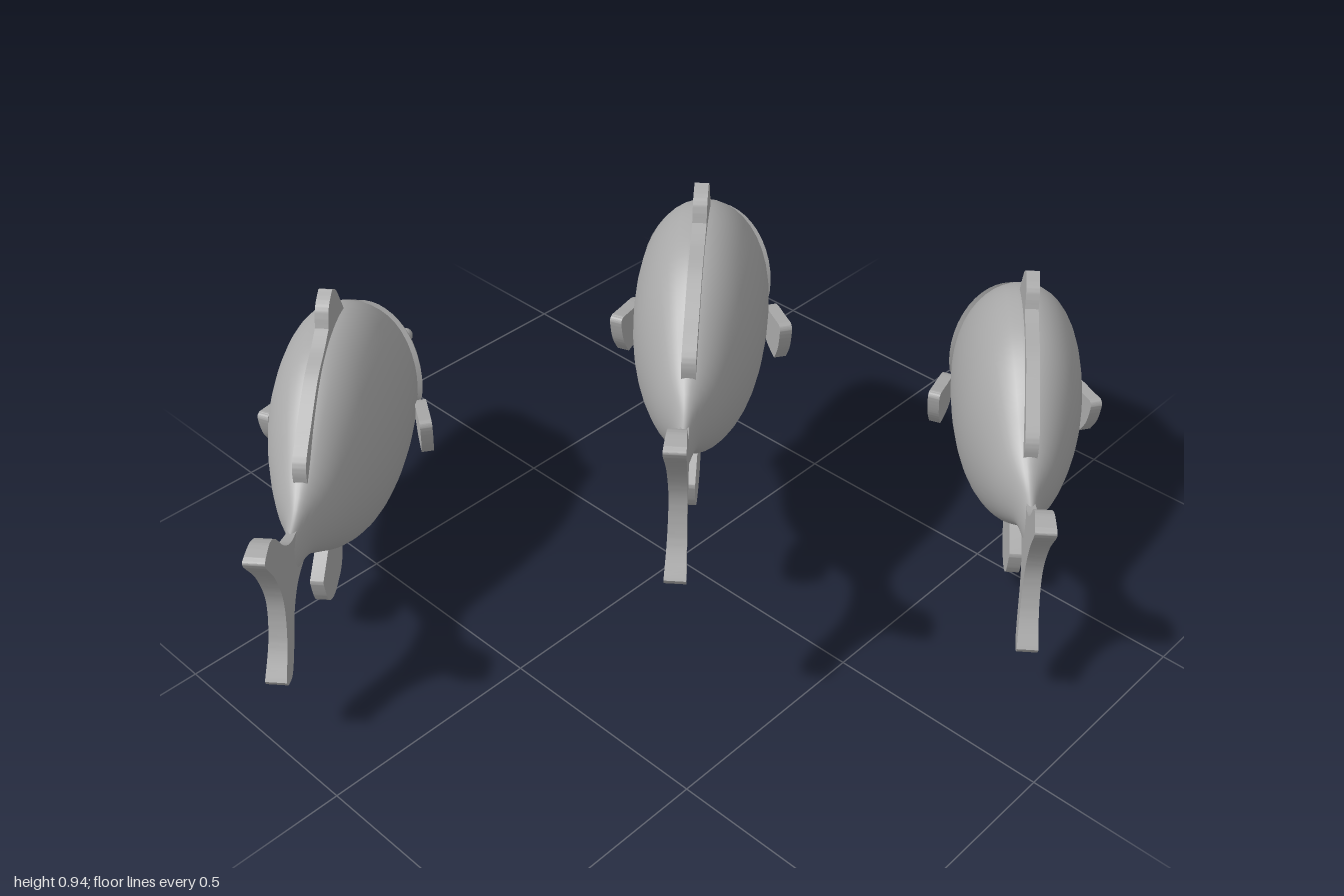
import * as THREE from 'three';
import { toCreasedNormals } from 'three/addons/utils/BufferGeometryUtils.js';

const grey = new THREE.MeshStandardMaterial({ color: 0xa8a8a8 });
grey.name = 'fish grey';

// Body profile along the fish (x from tail to snout): x, top, bottom, half width
const PROFILE = [
  [0.16, 0.345, 0.275, 0.006], [0.20, 0.352, 0.265, 0.014], [0.27, 0.375, 0.25, 0.03],
  [0.34, 0.425, 0.20, 0.068], [0.42, 0.50, 0.14, 0.102], [0.52, 0.565, 0.09, 0.132],
  [0.62, 0.59, 0.07, 0.145], [0.72, 0.585, 0.078, 0.147], [0.80, 0.553, 0.108, 0.14],
  [0.88, 0.49, 0.16, 0.117], [0.95, 0.42, 0.205, 0.086], [1.00, 0.372, 0.236, 0.058],
  [1.03, 0.34, 0.26, 0.034], [1.045, 0.31, 0.29, 0.01],
];
const X0 = PROFILE[0][0], X1 = PROFILE[PROFILE.length - 1][0];
const spline = new THREE.CubicInterpolant(
  PROFILE.map((p) => p[0]),
  PROFILE.flatMap(([, t, b, w]) => [(t + b) / 2, (t - b) / 2, w]), 3, new Float32Array(3));

// Point on the body skin; angle 0 is the back, PI the belly
function skin(x, angle, offset = 0) {
  const [mid, h, w] = spline.evaluate(x);
  return [x, mid + (h + offset) * Math.cos(angle), (w + offset) * Math.sin(angle)];
}

// Closed tube of quads from a rule point(row, angle)
function loft(rows, sides, point) {
  const pos = [], index = [];
  for (let i = 0; i <= rows; i++)
    for (let j = 0; j < sides; j++) pos.push(...point(i, (j / sides) * Math.PI * 2));
  for (let i = 0; i < rows; i++)
    for (let j = 0; j < sides; j++) {
      const k = (j + 1) % sides;
      const a = i * sides + j, b = i * sides + k, c = a + sides, d = b + sides;
      index.push(a, b, c, b, d, c);
    }
  const geo = new THREE.BufferGeometry();
  geo.setAttribute('position', new THREE.Float32BufferAttribute(pos, 3));
  geo.setIndex(index);
  geo.computeVertexNormals();
  return geo;
}

function bodyGeometry() {
  const rows = 40;
  return loft(rows + 1, 40, (i, a) => {
    if (i > rows) return [X1 + 0.002, 0.3, 0];
    return skin(X0 + ((X1 - X0) * i) / rows, a);
  });
}

// Head shell: its rear lip curves around the gills and fades out under the jaw
function headGeometry() {
  const rows = 16;
  const lipX = new THREE.CubicInterpolant([0, 0.8, 1.5, 2.0, 2.5, Math.PI],
    [0.885, 0.85, 0.822, 0.84, 0.93, 0.96], 1, new Float32Array(1));
  return toCreasedNormals(loft(rows + 2, 48, (i, a) => {
    const t = a > Math.PI ? Math.PI * 2 - a : a;
    const start = lipX.evaluate(t)[0];
    const lift = 0.012 - 0.016 * THREE.MathUtils.smoothstep(t, 1.9, 2.5);
    if (i === 0) return skin(start, a, -0.006);
    if (i > rows + 1) return [X1 + 0.006, 0.3, 0];
    const f = (i - 1) / rows;
    return skin(start + (X1 + 0.002 - start) * f, a, lift * (1 - 0.6 * f));
  }), 0.7);
}

// Flat fin: outline made of smooth edges meeting at corners
function finGeometry(edges, thickness) {
  const shape = new THREE.Shape();
  shape.moveTo(...edges[0][0]);
  edges.forEach((edge, i) => {
    const pts = (i ? edge : edge.slice(1)).map((p) => new THREE.Vector2(...p));
    if (pts.length > 1) shape.splineThru(pts);
    else shape.lineTo(pts[0].x, pts[0].y);
  });
  const geo = new THREE.ExtrudeGeometry(shape, { depth: thickness, bevelEnabled: false, curveSegments: 10 });
  return geo.translate(0, 0, -thickness / 2);
}

function tailGeometry() {
  const geo = finGeometry([
    [[0.25, 0.35], [0.18, 0.365], [0.13, 0.40], [0.085, 0.455], [0.05, 0.475], [0.01, 0.47]],
    [[0, 0.455], [0.045, 0.385], [0.07, 0.30], [0.05, 0.215], [0, 0.145]],
    [[0.01, 0.13], [0.045, 0.123], [0.08, 0.155], [0.125, 0.22], [0.18, 0.255], [0.25, 0.26]],
  ], 0.045);
  // Thin the fin toward the body
  const p = geo.attributes.position;
  for (let i = 0; i < p.count; i++)
    p.setZ(i, p.getZ(i) * THREE.MathUtils.mapLinear(p.getX(i), 0, 0.25, 1, 0.35));
  geo.computeVertexNormals();
  return toCreasedNormals(geo, 0.6);
}

const crease = (edges, thickness) => toCreasedNormals(finGeometry(edges, thickness), 0.6);

const PARTS = {
  body: bodyGeometry(),
  head: headGeometry(),
  tailFin: tailGeometry(),
  dorsalFin: crease([
    [[0.32, 0.395], [0.328, 0.448], [0.40, 0.505], [0.48, 0.56], [0.55, 0.588], [0.595, 0.61]],
    [[0.615, 0.65], [0.655, 0.672]],
    [[0.68, 0.655], [0.70, 0.62], [0.72, 0.58]],
    [[0.70, 0.54]], [[0.52, 0.52]], [[0.40, 0.43]],
  ], 0.03),
  analFin: crease([
    [[0.40, 0.18], [0.325, 0.132]],
    [[0.322, 0.12], [0.338, 0.065], [0.375, 0.042], [0.42, 0.047], [0.46, 0.065], [0.487, 0.11]],
    [[0.48, 0.16]],
  ], 0.03),
  pelvicFin: crease([
    [[0.73, 0.12], [0.728, 0.07], [0.733, 0.015], [0.75, 0], [0.768, 0.005], [0.785, 0.05], [0.795, 0.12]],
    [[0.77, 0.15]],
  ], 0.03),
  // Pectoral fin, x measured back from its root
  pectoralFin: crease([
    [[0.01, 0.285], [-0.02, 0.305], [-0.08, 0.315], [-0.125, 0.322]],
    [[-0.135, 0.31], [-0.125, 0.26], [-0.10, 0.217]],
    [[-0.04, 0.222], [-0.015, 0.245], [0.01, 0.285]],
  ], 0.028),
  eye: new THREE.SphereGeometry(0.017, 16, 12),
};

function part(name) {
  const mesh = new THREE.Mesh(PARTS[name], grey);
  mesh.name = name;
  return mesh;
}

function createFish() {
  const fish = new THREE.Group();
  for (const name of ['body', 'head', 'tailFin', 'dorsalFin', 'analFin', 'pelvicFin']) fish.add(part(name));
  for (const side of [-1, 1]) {
    const fin = part('pectoralFin');
    fin.position.set(0.785, 0, side * 0.145);
    fin.rotation.y = side * 0.33;
    const eye = part('eye');
    eye.position.set(...skin(0.93, side * 1.1, 0.004));
    fish.add(fin, eye);
  }
  return fish;
}

export function createModel() {
  const model = new THREE.Group();
  model.name = 'schoolOfFish';
  // Three identical fish swimming the same way
  [[-0.986, 0.035, -0.185], [-0.398, 0.27, 0.37], [0.174, 0, 0.845]].forEach((p, i) => {
    const fish = createFish();
    fish.name = 'fish' + (i + 1);
    fish.position.set(...p);
    fish.rotation.y = 0.675;
    model.add(fish);
  });
  return model;
}
